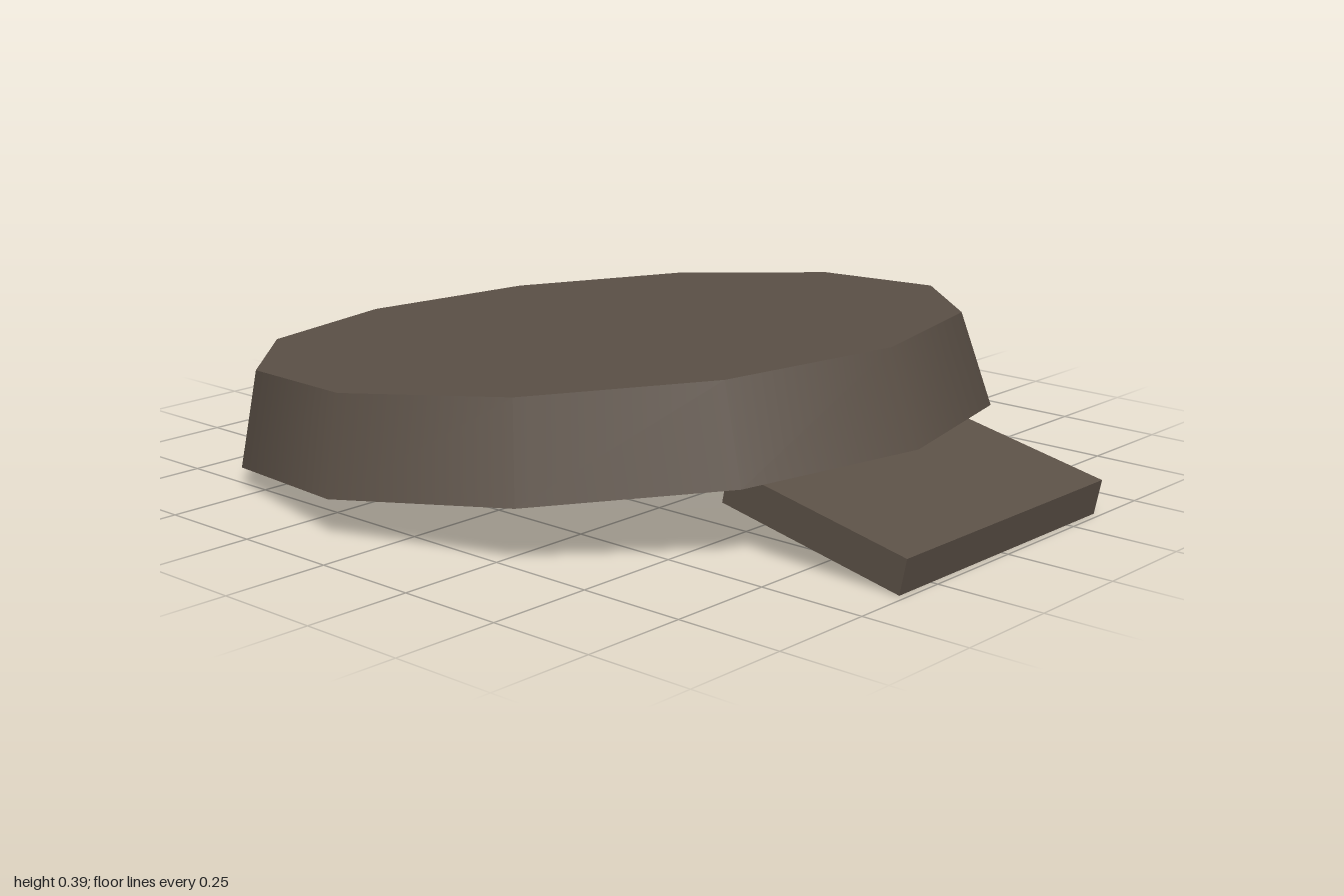
import * as THREE from 'three';

export function createModel() {
  const model = new THREE.Group();
  const brown = new THREE.MeshStandardMaterial({ color: 0x5c5147 });
  brown.name = 'dark brown';

  const add = (name, geometry, y, z, tilt) => {
    const mesh = new THREE.Mesh(geometry, brown);
    mesh.name = name;
    mesh.position.set(0, y, z);
    mesh.rotation.x = tilt;
    model.add(mesh);
  };

  // Twelve-sided tapered disc, raised at the front
  add('disc', new THREE.CylinderGeometry(0.832, 0.887, 0.218, 12), 0.203, -0.128, -0.102);
  // Flat tab sloping down from under the disc's front edge
  add('frontTab', new THREE.BoxGeometry(0.715, 0.082, 0.47), 0.092, 0.762, 0.204);

  return model;
}
